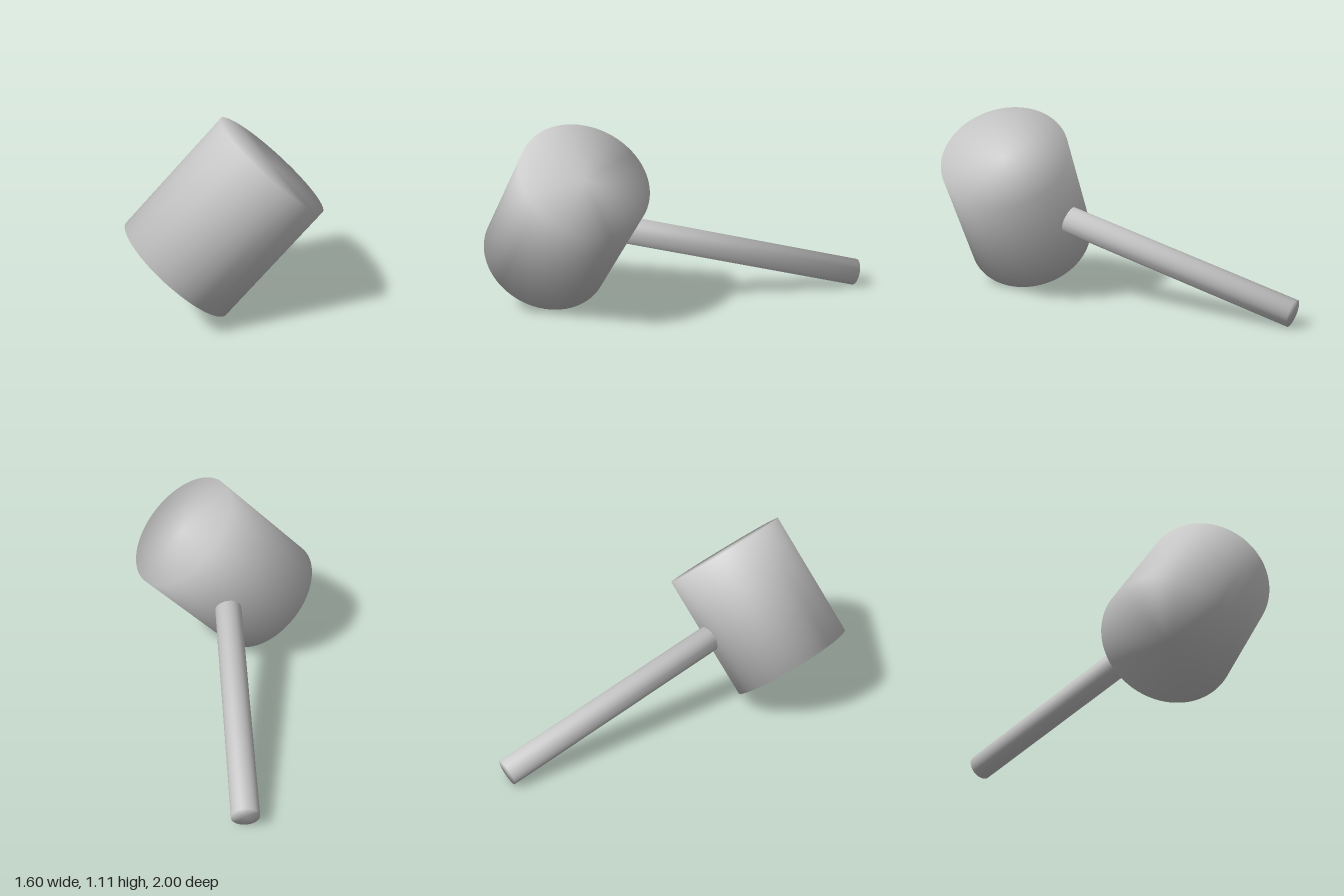
import * as THREE from 'three';

const material = new THREE.MeshStandardMaterial({ color: 0xcccccc });

// Solid rod between two points, with soft shading carried over its rims
function rod(name, from, to, radius, sides) {
  const length = from.distanceTo(to);
  const geometry = new THREE.CylinderGeometry(radius, radius, length, sides);
  const { position, normal } = geometry.attributes;
  const n = new THREE.Vector3();
  for (let i = 0; i < position.count; i++) {
    n.set(position.getX(i) / radius, 0.7 * Math.sign(position.getY(i)), position.getZ(i) / radius).normalize();
    normal.setXYZ(i, n.x, n.y, n.z);
  }
  const mesh = new THREE.Mesh(geometry, material);
  mesh.name = name;
  mesh.position.copy(from).add(to).multiplyScalar(0.5);
  mesh.quaternion.setFromUnitVectors(new THREE.Vector3(0, 1, 0), to.clone().sub(from).normalize());
  return mesh;
}

export function createModel() {
  const group = new THREE.Group();
  group.name = 'mallet';

  const center = new THREE.Vector3(-0.26, 0.56, 0.545);
  const halfHead = new THREE.Vector3(0.64, 0.74, 0.2).normalize().multiplyScalar(0.4);
  const handleEnd = new THREE.Vector3(0.72, 0.08, -0.953);

  // Thick drum-shaped head, tilted
  group.add(rod('head', center.clone().sub(halfHead), center.clone().add(halfHead), 0.38, 96));

  // Handle set into the middle of the head and resting on the ground
  group.add(rod('handle', center, handleEnd, 0.08, 64));

  return group;
}
